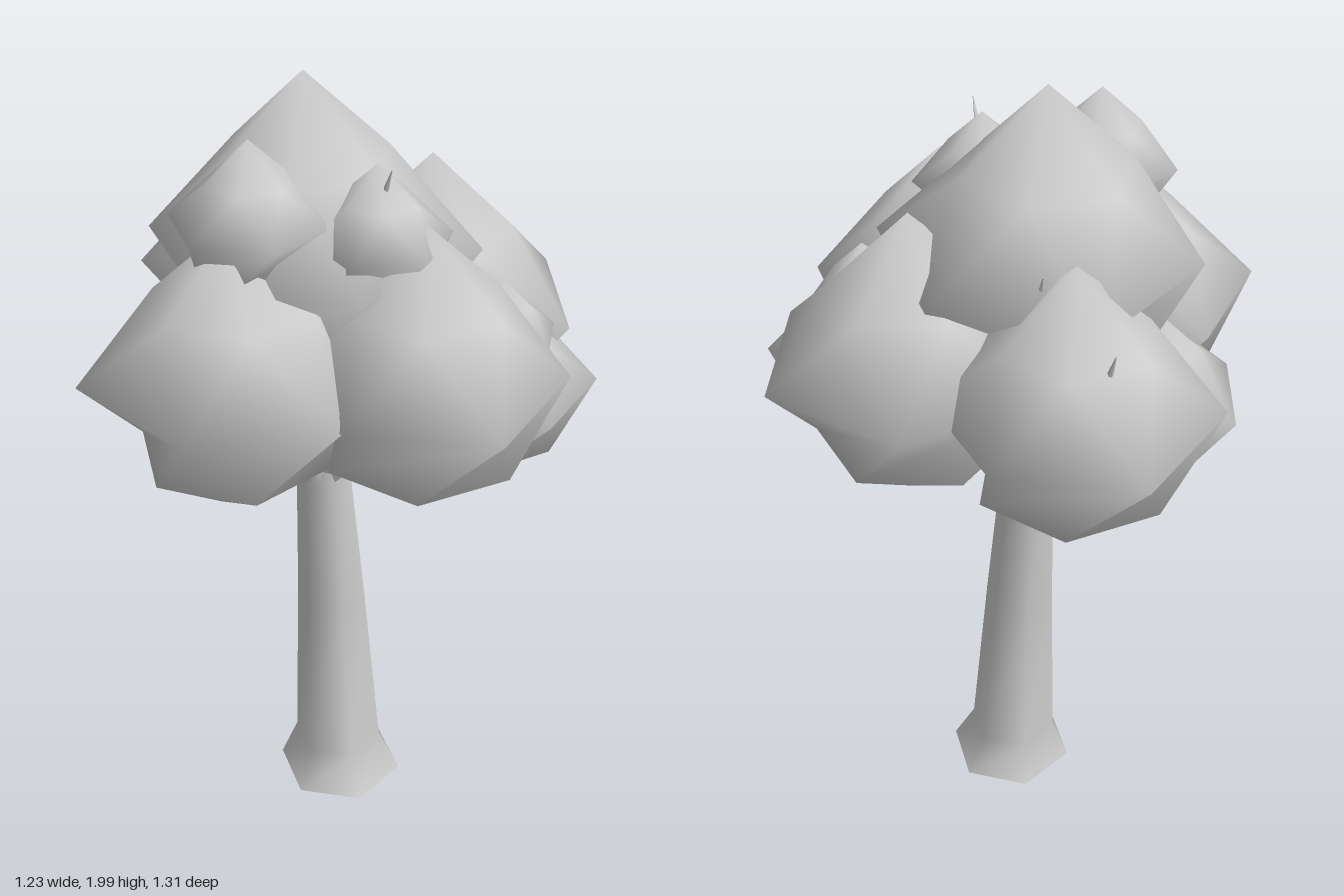
import * as THREE from 'three';

// Double sided because the trunk is an open tube
const grey = new THREE.MeshStandardMaterial({ color: 0xcccccc, side: THREE.DoubleSide });
grey.name = 'plain grey';

// Skin through horizontal rings [x, y, z, radius or radius per corner, turn in degrees],
// listed bottom to top; a point closes each end where one is given
function loft(rings, sides, bottom, top) {
  const pos = [], index = [];
  const last = rings.length - 1, low = rings.length * sides, high = low + 1;
  rings.forEach(([x, y, z, r, turn], k) => {
    for (let i = 0; i < sides; i++) {
      const a = (i / sides) * Math.PI * 2 + THREE.MathUtils.degToRad(turn);
      const radius = Array.isArray(r) ? r[i] : r;
      pos.push(x + Math.cos(a) * radius, y, z + Math.sin(a) * radius);
      const a0 = k * sides + i, a1 = k * sides + ((i + 1) % sides);
      if (k === 0 && bottom) index.push(low, a0, a1);
      if (k < last) index.push(a0, a0 + sides, a1, a0 + sides, a1 + sides, a1);
      else if (top) index.push(a0, high, a1);
    }
  });
  if (bottom) pos.push(...bottom);
  if (top) pos.push(...top);
  const g = new THREE.BufferGeometry();
  g.setAttribute('position', new THREE.Float32BufferAttribute(pos, 3));
  g.setIndex(index);
  g.computeVertexNormals();
  return g;
}

function add(parent, name, geometry) {
  const mesh = new THREE.Mesh(geometry, grey);
  mesh.name = name;
  parent.add(mesh);
}

// Leaf clump: pointed top, uneven six-cornered waist, rounded underside
function clump(x, y, z, s, turn, corners = [1, 1, 1, 1, 1, 1]) {
  return loft([
    [x, y - 0.285 * s, z, 0.115 * s, turn],
    [x, y - 0.21 * s, z, 0.24 * s, turn + 30],
    [x, y, z, corners.map((c) => c * 0.36 * s), turn],
    [x, y + 0.18 * s, z, 0.19 * s, turn + 30],
  ], 6, [x, y - 0.31 * s, z], [x, y + 0.36 * s, z]);
}

// Tapered limb between two points
function limb(from, to, r0, r1) {
  const a = new THREE.Vector3(...from), b = new THREE.Vector3(...to);
  const d = b.clone().sub(a);
  const g = new THREE.CylinderGeometry(r1, r0, d.length(), 6);
  g.applyQuaternion(new THREE.Quaternion().setFromUnitVectors(new THREE.Vector3(0, 1, 0), d.normalize()));
  return g.translate(...a.add(b).multiplyScalar(0.5).toArray());
}

export function createModel() {
  const tree = new THREE.Group();
  tree.name = 'tree';

  // Leaning six-sided trunk with a flared, open foot
  add(tree, 'trunk', loft([
    [0.03, 0.01, 0.037, 0.165, 30],
    [0.025, 0.12, 0.03, 0.115, 30],
    [0.008, 0.6, 0.02, 0.088, 30],
    [-0.012, 1.01, 0.012, 0.066, 30],
  ], 6));

  // Forked branches reaching into the crown
  const branches = new THREE.Group();
  branches.name = 'branches';
  tree.add(branches);
  [[-0.2, 1.3, 0.12], [0.2, 1.3, 0.0], [0.08, 1.3, 0.2], [-0.03, 1.3, -0.22]].forEach(([x, y, z]) =>
    add(branches, 'branch', limb([-0.012 + x * 0.12, 0.99, 0.012 + z * 0.12], [x, y, z], 0.04, 0.034)));

  // Twig tips poking out of the leaves
  [
    [[-0.055, 1.5, -0.43], [-0.06, 1.63, -0.49]],
    [[0.03, 1.6, -0.23], [0.04, 1.72, -0.3]],
    [[0.04, 1.74, 0.22], [0.045, 1.87, 0.285]],
  ].forEach(([a, b]) => add(branches, 'twig', limb(a, b, 0.014, 0.001)));

  // Crown of leaf clumps: x, y, z, scale, turn, waist corners
  const crown = new THREE.Group();
  crown.name = 'crown';
  tree.add(crown);
  [
    ['topClump', -0.055, 1.615, 0.01, 1.07, 28, [1.04, 0.94, 0.92, 0.93, 1.04, 1]],
    ['backClump', -0.03, 1.4, -0.31, 0.95, 20, [0.97, 1, 1, 0.97, 1.02, 0.93]],
    ['leftClump', 0.265, 1.4, -0.025, 1.0, -13],
    ['frontClump', 0.12, 1.4, 0.31, 0.96, 23, [0.93, 1, 0.93, 1, 1, 0.97]],
    ['rightClump', -0.27, 1.4, 0.175, 0.97, 6, [1, 1, 0.95, 1, 0.95, 1]],
    ['lowFrontClump', 0.33, 1.28, 0.195, 0.71, 20],
    ['lowBackClump', -0.235, 1.28, -0.13, 0.71, 46],
    ['smallRightClump', -0.22, 1.74, 0.15, 0.5, 30],
    ['smallFrontClump', 0.04, 1.695, 0.22, 0.46, 10],
    ['tinyClump', 0.33, 1.42, 0.235, 0.39, 0],
  ].forEach(([name, ...p]) => add(crown, name, clump(...p)));

  return tree;
}
